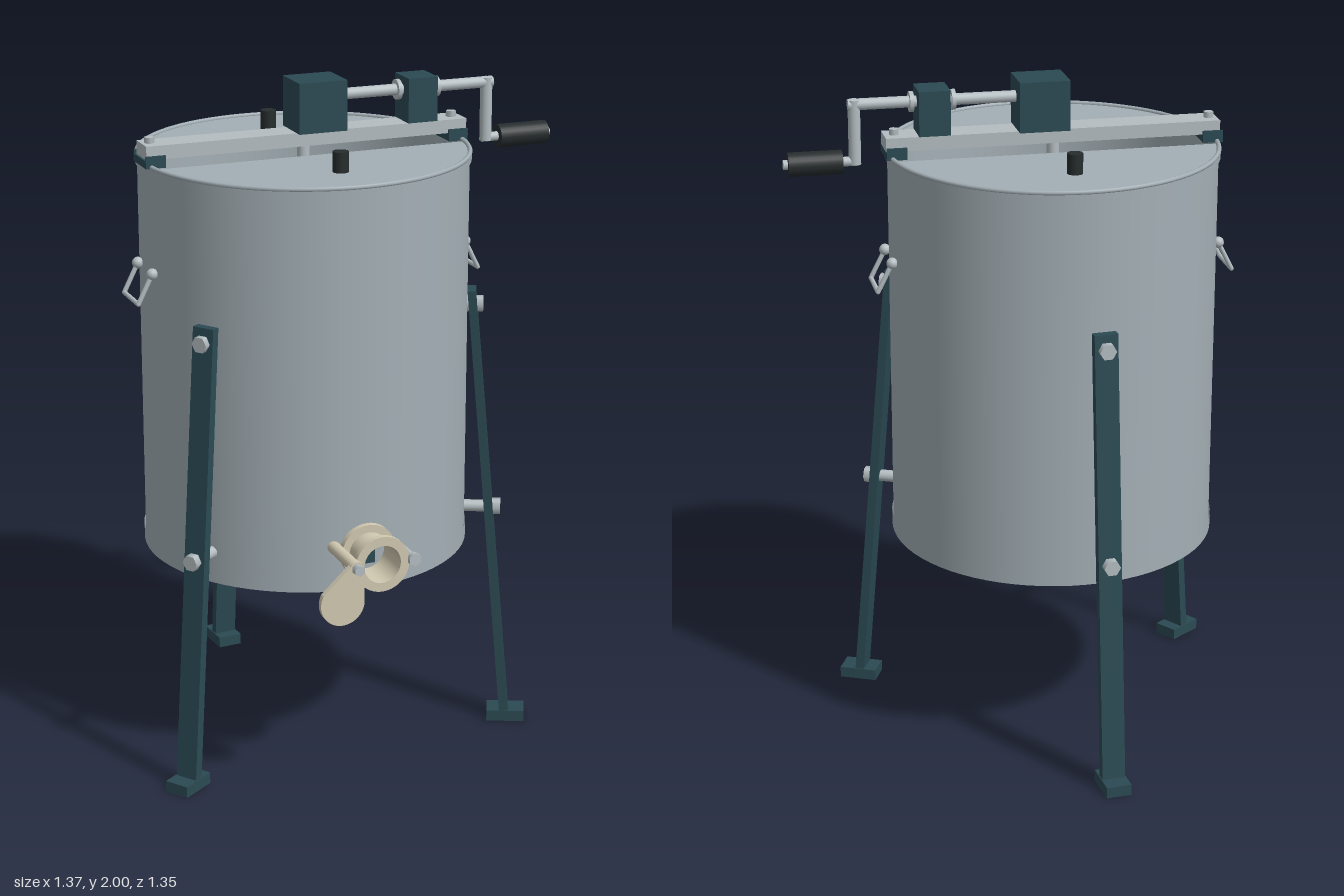
import * as THREE from 'three';

const CX = -0.11; // drum axis
const R = 0.483;

const mat = (name, color, side = THREE.FrontSide) => {
  const m = new THREE.MeshStandardMaterial({ color, side });
  m.name = name;
  return m;
};

export function createModel() {
  const steel = mat('steel', 0xa3afb5, THREE.DoubleSide);
  const bright = mat('brightMetal', 0xb4bdc1);
  const teal = mat('darkTeal', 0x2b4a53);
  const black = mat('blackPlastic', 0x262c2d);
  const cream = mat('cream', 0xd0c8b0, THREE.DoubleSide);

  const model = new THREE.Group();
  model.name = 'drumExtractor';

  const group = (name, x = 0, y = 0, z = 0, parent = model) => {
    const g = new THREE.Group();
    g.name = name;
    g.position.set(x, y, z);
    parent.add(g);
    return g;
  };
  const add = (name, geo, m, x = 0, y = 0, z = 0, parent = model) => {
    const mesh = new THREE.Mesh(geo, m);
    mesh.name = name;
    mesh.position.set(x, y, z);
    parent.add(mesh);
    return mesh;
  };
  const box = (name, w, h, d, m, x, y, z, parent) =>
    add(name, new THREE.BoxGeometry(w, h, d), m, x, y, z, parent);
  // Straight round bar between two points
  const rod = (name, a, b, r, m, parent, seg = 16) => {
    const p = new THREE.Vector3(...a), q = new THREE.Vector3(...b);
    const dir = q.clone().sub(p);
    const mesh = add(name, new THREE.CylinderGeometry(r, r, dir.length(), seg), m, 0, 0, 0, parent);
    mesh.position.copy(p).add(q).multiplyScalar(0.5);
    mesh.quaternion.setFromUnitVectors(new THREE.Vector3(0, 1, 0), dir.normalize());
    return mesh;
  };

  // Drum: wall, floor and rolled bands
  const drum = group('drum', CX);
  add('drumWall', new THREE.CylinderGeometry(R, R, 1.195, 72, 1, true), steel, 0, 1.2, 0, drum);
  add('drumFloor', new THREE.CylinderGeometry(R, R, 0.01, 72), steel, 0, 0.61, 0, drum);
  add('topBand', new THREE.CylinderGeometry(R + 0.006, R + 0.006, 0.025, 72, 1, true), steel, 0, 1.782, 0, drum);
  add('bottomBand', new THREE.CylinderGeometry(R + 0.004, R + 0.004, 0.045, 72, 1, true), steel, 0, 0.628, 0, drum);
  const rim = add('topRim', new THREE.TorusGeometry(R + 0.001, 0.007, 8, 72), steel, 0, 1.793, 0, drum);
  rim.rotation.x = Math.PI / 2;

  // Two lid halves with a slot between them
  const t = Math.asin(0.075 / R);
  const half = new THREE.Shape();
  half.absarc(0, 0, R - 0.002, t, Math.PI - t, false);
  const lidGeo = new THREE.ExtrudeGeometry(half, { depth: 0.008, bevelEnabled: false, curveSegments: 40 });
  lidGeo.rotateX(-Math.PI / 2);
  for (const s of [0, 1]) {
    const lid = group(s ? 'frontLid' : 'backLid', 0, 1.783, 0, drum);
    lid.rotation.y = s * Math.PI;
    add('lidPlate', lidGeo, steel, 0, 0, 0, lid);
    add('lidKnob', new THREE.CylinderGeometry(0.023, 0.023, 0.06, 20), black, 0, 0.037, -0.29, lid);
  }

  // Inner basket glimpsed through the slot
  const basket = group('basket', CX);
  rod('basketShaft', [0, 0.62, 0], [0, 1.81, 0], 0.018, bright, basket);
  for (let k = 0; k < 3; k++) {
    const panel = group('basketPanel', 0, 0, 0, basket);
    panel.rotation.y = (k * Math.PI * 2) / 3 + 0.2;
    for (const y of [0.75, 1.62]) rod('panelRail', [-0.36, y, 0.2], [0.36, y, 0.2], 0.006, bright, panel, 8);
    for (let i = 0; i < 8; i++) {
      const x = -0.36 + i * 0.09;
      const z = i % 2 ? 0.2 : 0.15;
      rod('zigzagWire', [x, 1.62, z], [x + 0.09, 1.62, 0.35 - z], 0.005, bright, panel, 6);
      rod('panelWire', [x, 0.75, 0.2], [x, 1.62, 0.2], 0.005, bright, panel, 6);
    }
  }

  // Cross bar, its end brackets and bolts
  box('crossBar', 0.99, 0.04, 0.09, bright, CX + 0.003, 1.832, 0);
  for (const s of [-1, 1]) {
    const x = CX + s * 0.468;
    box('barBracket', 0.06, 0.022, 0.114, teal, x, 1.801, 0);
    for (const e of [-1, 1]) box('bracketLip', 0.06, 0.035, 0.007, teal, x, 1.807, e * 0.053);
    add('barBolt', new THREE.CylinderGeometry(0.015, 0.015, 0.018, 6), bright, x, 1.86, 0);
  }

  // Gearbox, bearing block and crank
  box('gearbox', 0.148, 0.148, 0.134, teal, -0.073, 1.926, 0);
  box('bearingBlock', 0.092, 0.132, 0.102, teal, 0.246, 1.919, 0);
  rod('crankShaft', [0, 1.946, 0], [0.49, 1.946, 0], 0.017, bright);
  for (const x of [0.185, 0.307]) rod('shaftCollar', [x - 0.006, 1.946, 0], [x + 0.006, 1.946, 0], 0.03, bright, model, 24);
  rod('crankArm', [0.472, 1.96, 0], [0.472, 1.77, 0], 0.018, bright);
  rod('gripSpindle', [0.46, 1.779, 0], [0.68, 1.779, 0], 0.014, bright);
  rod('crankGrip', [0.51, 1.779, 0], [0.667, 1.779, 0], 0.035, black, model, 24);

  // Swinging carry handles on both sides
  for (const s of [-1, 1]) {
    const handle = group('carryHandle', CX);
    const pts = [[0.49, 1.485, 0.067], [0.533, 1.4, 0.067], [0.533, 1.4, -0.067], [0.49, 1.485, -0.067]]
      .map(([x, y, z]) => [s * x, y, z]);
    for (let i = 0; i < 3; i++) rod('handleWire', pts[i], pts[i + 1], 0.007, bright, handle, 10);
    for (const p of pts) {
      const pivot = p[1] > 1.45;
      add(pivot ? 'handlePivot' : 'handleCorner', new THREE.SphereGeometry(pivot ? 0.017 : 0.007, 14, 10), bright, ...p, handle);
    }
  }

  // Three splayed legs with feet, bolts and spacers
  const legShape = new THREE.Shape();
  legShape.moveTo(0.483, 1.38);
  legShape.lineTo(0.508, 1.38);
  legShape.lineTo(0.63, 0.02);
  legShape.lineTo(0.602, 0.02);
  const legGeo = new THREE.ExtrudeGeometry(legShape, { depth: 0.07, bevelEnabled: false });
  legGeo.translate(0, 0, -0.035);
  for (let i = 0; i < 3; i++) {
    const leg = group('leg', CX);
    leg.rotation.y = -(25 + i * 120) * Math.PI / 180;
    add('legStrip', legGeo, teal, 0, 0, 0, leg);
    box('foot', 0.115, 0.034, 0.076, teal, 0.62, 0.017, 0, leg);
    rod('upperBolt', [0.47, 1.335, 0], [0.53, 1.335, 0], 0.025, bright, leg, 6);
    rod('spacer', [0.47, 0.697, 0], [0.56, 0.697, 0], 0.018, bright, leg);
    rod('lowerBolt', [0.56, 0.697, 0], [0.592, 0.697, 0], 0.025, bright, leg, 6);
  }

  // Honey gate: hollow spout with flanges
  const gate = group('gate', -0.107, 0.72, 0);
  const spoutProfile = [[0.056, 0.48], [0.083, 0.48], [0.083, 0.5], [0.06, 0.5], [0.06, 0.585], [0.083, 0.585], [0.083, 0.602], [0.056, 0.602], [0.056, 0.48]];
  for (let i = 0; i < spoutProfile.length - 1; i++) {
    const pair = [spoutProfile[i], spoutProfile[i + 1]].map(([r, z]) => new THREE.Vector2(r, z));
    add('spout', new THREE.LatheGeometry(pair, 36), cream, 0, 0, 0, gate).rotation.x = Math.PI / 2;
  }
  box('spoutInnerPlate', 0.045, 0.075, 0.008, teal, 0, 0, 0.488, gate);

  // Hinge post, latch post and the swung-open paddle
  rod('hingePost', [-0.098, 0.02, 0.46], [-0.098, 0.02, 0.65], 0.018, cream, gate);
  rod('hingeBolt', [-0.098, 0.02, 0.65], [-0.098, 0.02, 0.672], 0.016, bright, gate, 6);
  rod('latchPost', [0.095, 0.005, 0.46], [0.095, 0.005, 0.6], 0.012, bright, gate);
  rod('latchBolt', [0.095, 0.005, 0.6], [0.095, 0.005, 0.617], 0.02, bright, gate, 6);
  const paddle = new THREE.Shape();
  paddle.absarc(0, 0, 0.066, Math.PI * 0.84, Math.PI * 2.02, false);
  paddle.absarc(0.043, 0.098, 0.021, 0, Math.PI * 0.84, false);
  add('paddle', new THREE.ExtrudeGeometry(paddle, { depth: 0.018, bevelEnabled: false, curveSegments: 24 }), cream, -0.141, -0.08, 0.632, gate);

  return model;
}
